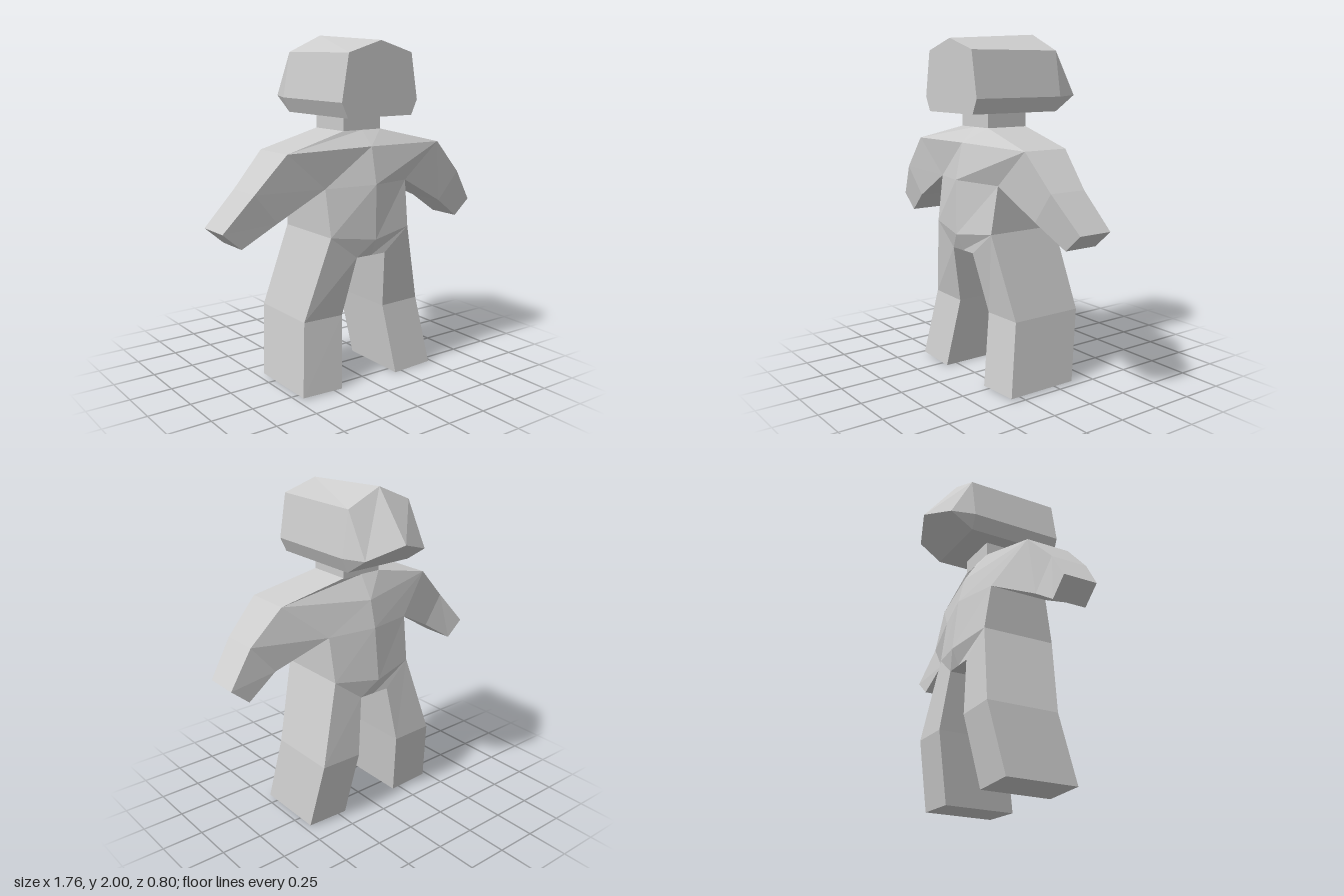
import * as THREE from 'three';

const clay = new THREE.MeshStandardMaterial({ color: 0xcccccc, flatShading: true });
clay.name = 'light grey';

// Skin a series of rings; each ring runs counter-clockwise seen from the last ring's end
function loft(name, rings, capStart = false, capEnd = false) {
  const pos = [];
  const tri = (a, b, c) => {
    const [A, B, C] = [a, b, c].map((p) => new THREE.Vector3(...p));
    if (B.sub(A).cross(C.sub(A)).length() > 1e-6) pos.push(...a, ...b, ...c);
  };
  const n = rings[0].length;
  for (let r = 0; r < rings.length - 1; r++) {
    const p = rings[r], q = rings[r + 1];
    for (let i = 0; i < n; i++) {
      const j = (i + 1) % n;
      tri(p[i], p[j], q[j]);
      tri(p[i], q[j], q[i]);
    }
  }
  const last = rings[rings.length - 1];
  for (let i = 1; i < n - 1; i++) {
    if (capStart) tri(rings[0][0], rings[0][i + 1], rings[0][i]);
    if (capEnd) tri(last[0], last[i], last[i + 1]);
  }
  const geo = new THREE.BufferGeometry();
  geo.setAttribute('position', new THREE.Float32BufferAttribute(pos, 3));
  geo.computeVertexNormals();
  const mesh = new THREE.Mesh(geo, clay);
  mesh.name = name;
  return mesh;
}

const flip = ([x, y, z]) => [-x, y, z];
const mirrorRing = (ring) => ring.map(flip).reverse();

// Close a half ring (centre, +x side points, centre) with its mirrored side
const symmetric = (half) => [...half, ...half.slice(1, -1).reverse().map(flip)];

export function createModel() {
  const model = new THREE.Group();
  model.name = 'figure';

  // Torso, crotch to neck base: front centre, front side, back side, back centre
  model.add(loft('torso', [
    [[0, 0.765, 0.325], [0.1, 0.765, 0.325], [0.1, 0.765, -0.15], [0, 0.765, -0.15]],
    [[0, 0.865, 0.37], [0.275, 0.9, 0.32], [0.275, 0.9, -0.13], [0, 0.865, -0.19]],
    [[0, 1.18, 0.37], [0.285, 1.17, 0.28], [0.285, 1.17, -0.09], [0, 1.18, -0.155]],
    [[0, 1.39, 0.325], [0.53, 1.38, 0.285], [0.53, 1.38, 0.01], [0, 1.34, -0.115]],
    [[0, 1.475, 0.235], [0.13, 1.475, 0.235], [0.13, 1.475, -0.03], [0, 1.475, -0.03]],
  ].map(symmetric), true, true));

  // Neck
  const neck = new THREE.Mesh(new THREE.BoxGeometry(0.26, 0.1, 0.265), clay);
  neck.name = 'neck';
  neck.position.set(0, 1.52, 0.1025);
  model.add(neck);

  // Head: a long prism from the face back, closing to a sloped keel behind
  const headRing = (z, top) => symmetric([
    [0, top, z], [0.215, 1.905, z], [0.26, 1.645, z], [0.22, 1.56, z], [0, 1.56, z],
  ]);
  const tip = [0, 1.72, -0.4], corner = [0.215, 1.65, -0.32];
  model.add(loft('head', [
    headRing(0.4, 1.97),
    headRing(-0.18, 2),
    symmetric([tip, corner, corner, corner, tip]),
  ], true));

  // Legs, foot to hip: inner front, outer front, outer back, inner back
  const leg = [
    [[0.2, 0, 0.32], [0.465, 0.01, 0.32], [0.465, 0.01, -0.115], [0.2, 0, -0.115]],
    [[0.15, 0.415, 0.25], [0.41, 0.42, 0.25], [0.41, 0.42, -0.19], [0.15, 0.415, -0.19]],
    [[0.1, 0.765, 0.325], [0.275, 0.9, 0.32], [0.275, 0.9, -0.13], [0.1, 0.765, -0.15]],
  ];

  // Arms, hand to shoulder: lower back, lower front, upper front, upper back
  const arm = [
    [[0.77, 0.885, 0], [0.77, 0.885, 0.205], [0.88, 0.98, 0.205], [0.88, 0.98, 0]],
    [[0.58, 1.01, 0.02], [0.58, 1.01, 0.255], [0.72, 1.18, 0.265], [0.72, 1.18, 0.04]],
    [[0.285, 1.17, -0.09], [0.285, 1.17, 0.28], [0.53, 1.38, 0.285], [0.53, 1.38, 0.01]],
  ];

  for (const [name, rings] of [['Leg', leg], ['Arm', arm]]) {
    model.add(loft('left' + name, rings, true));
    model.add(loft('right' + name, rings.map(mirrorRing), true));
  }
  return model;
}
